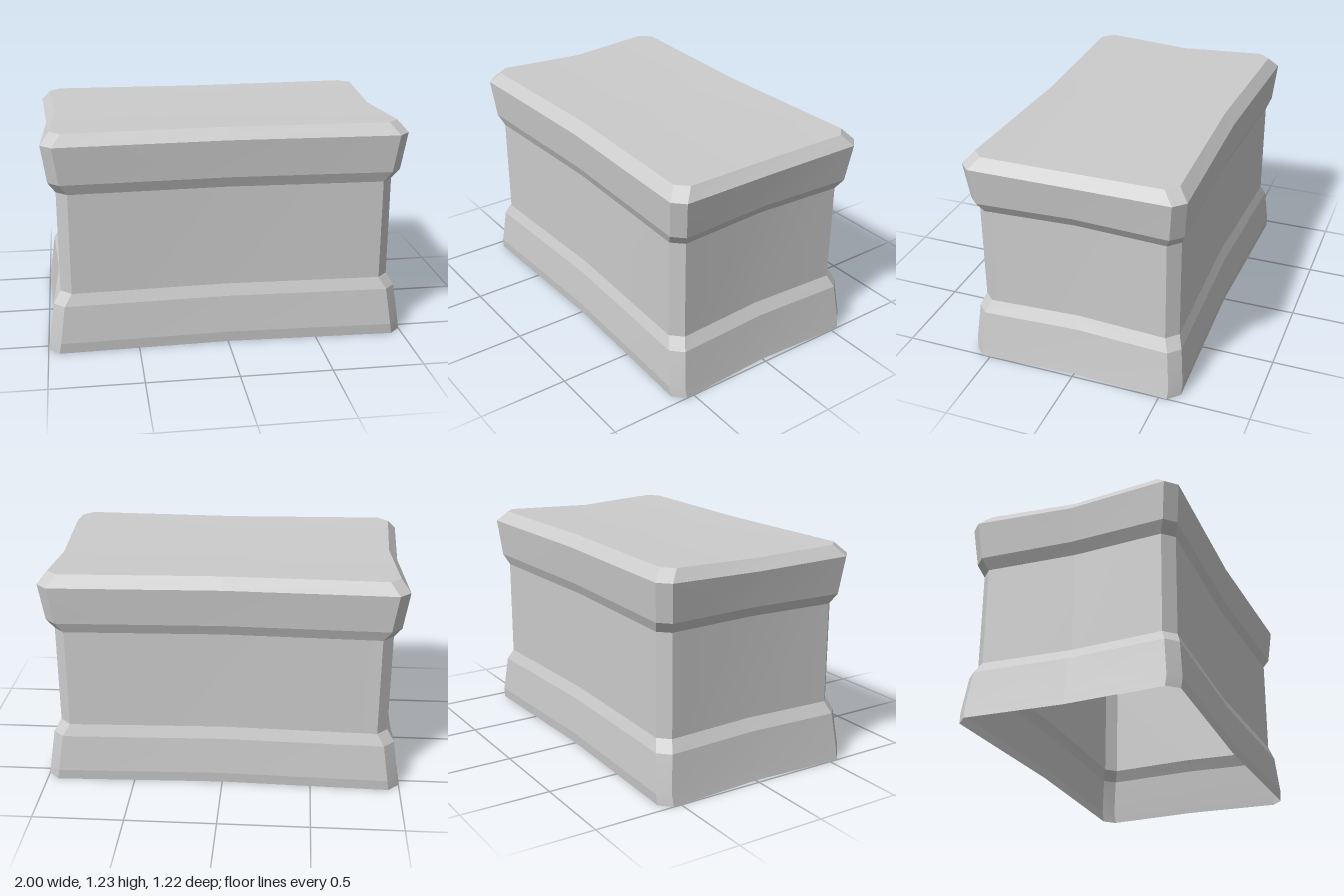
import * as THREE from 'three';
import { toCreasedNormals } from 'three/addons/utils/BufferGeometryUtils.js';

// Section heights: y, half width, half depth, dip at the middle of the left and right sides
const SECTIONS = [
  [0, 1.0, 0.605, 0],
  [0.06, 0.99, 0.61, 0],
  [0.27, 0.96, 0.59, 0],
  [0.335, 0.92, 0.565, 0],
  [0.9, 0.92, 0.565, 0],
  [0.96, 0.96, 0.59, 0],
  [1.17, 0.99, 0.61, 0.016],
  [1.23, 0.94, 0.555, 0.017],
];
const CHAMFER = 0.06;
const BOW = 0.028; // how far the middle of each wall is drawn in

// Chamfered rectangle with bowed-in sides, counterclockwise seen from above
function ring([y, w, d, dip]) {
  const c = CHAMFER;
  const half = [
    [0, y, d - BOW],
    [w - c, y, d],
    [w, y, d - c],
    [w - BOW, y - dip, 0],
    [w, y, c - d],
    [w - c, y, -d],
  ];
  return [...half, ...half.map(([x, h, z]) => [-x, h, -z])];
}

function shellGeometry() {
  const rings = SECTIONS.map(ring);
  const n = rings[0].length;
  const pos = [];
  const tri = (...points) => points.forEach((p) => pos.push(...p));

  // Walls between neighbouring sections
  for (let r = 0; r < rings.length - 1; r++) {
    for (let i = 0; i < n; i++) {
      const j = (i + 1) % n;
      const [a, b, c, d] = [rings[r][i], rings[r][j], rings[r + 1][j], rings[r + 1][i]];
      tri(a, b, c);
      tri(a, c, d);
    }
  }

  // Shallow V-shaped top; the underside stays open
  const top = rings[rings.length - 1];
  const centre = [0, top[3][1], 0];
  for (let i = 0; i < n; i++) tri(centre, top[i], top[(i + 1) % n]);

  const geometry = new THREE.BufferGeometry();
  geometry.setAttribute('position', new THREE.Float32BufferAttribute(pos, 3));
  return toCreasedNormals(geometry, 0.15);
}

export function createModel() {
  const group = new THREE.Group();
  group.name = 'pedestal';
  const material = new THREE.MeshStandardMaterial({ color: 0xcccccc, side: THREE.DoubleSide });
  const shell = new THREE.Mesh(shellGeometry(), material);
  shell.name = 'pedestalShell';
  group.add(shell);
  return group;
}
